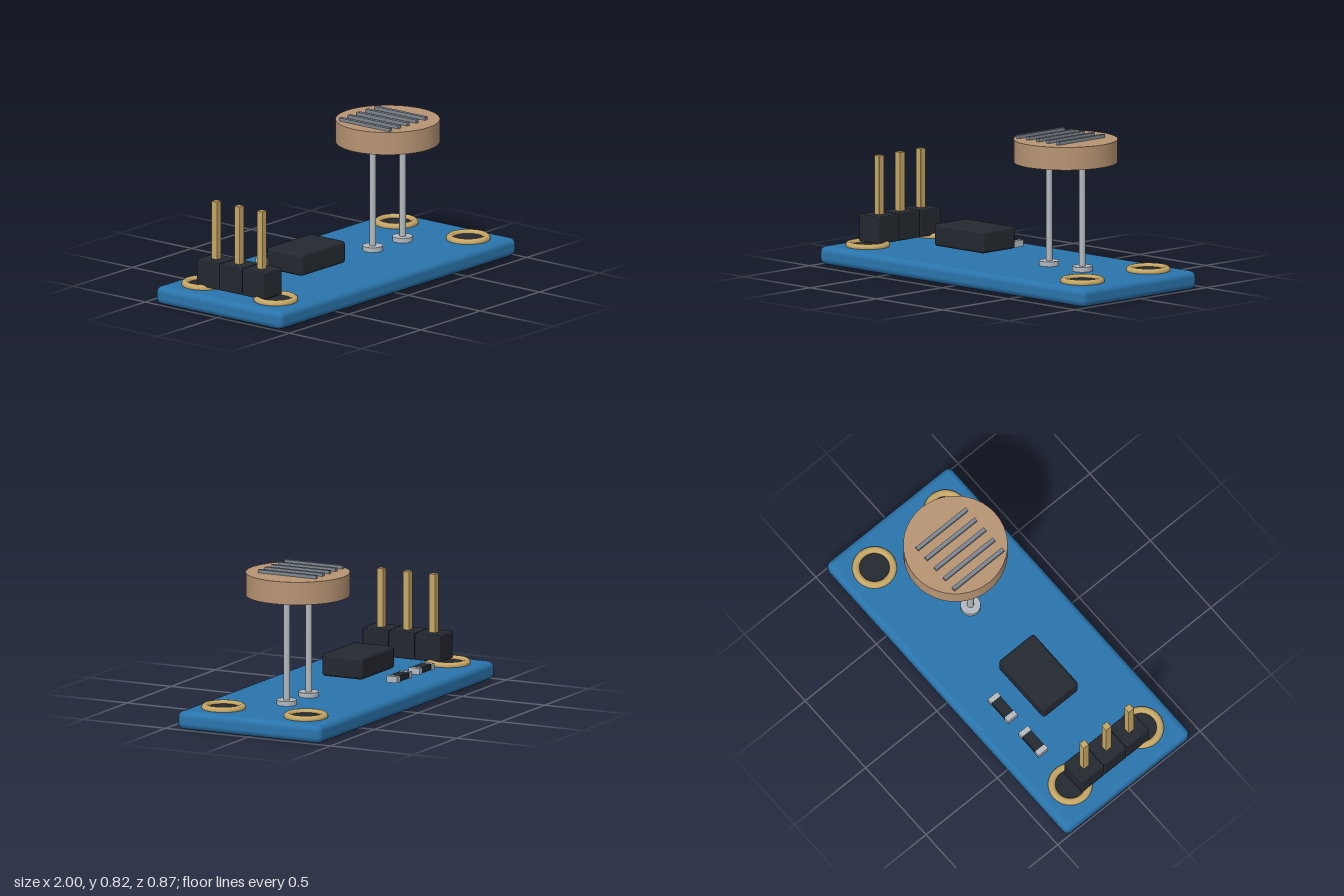
import * as THREE from 'three';
import { RoundedBoxGeometry } from 'three/addons/geometries/RoundedBoxGeometry.js';

const mat = (color) => new THREE.MeshStandardMaterial({ color });

export function createModel() {
  const model = new THREE.Group();
  const blue = mat(0x2a75ad), dark = mat(0x242830), gold = mat(0xc6a765);
  const silver = mat(0xb4bac0), tan = mat(0xb89474), steel = mat(0x7d8791);

  const add = (name, geometry, material, x, y, z) => {
    const mesh = new THREE.Mesh(geometry, material);
    mesh.name = name;
    mesh.position.set(x, y, z);
    model.add(mesh);
    return mesh;
  };
  // Upright cylinder and boxes given by their bottom and top heights
  const disc = (name, r, y0, y1, material, x, z, sides = 32) =>
    add(name, new THREE.CylinderGeometry(r, r, y1 - y0, sides), material, x, (y0 + y1) / 2, z);
  const box = (name, w, d, y0, y1, material, x, z) =>
    add(name, new THREE.BoxGeometry(w, y1 - y0, d), material, x, (y0 + y1) / 2, z);
  const rounded = (name, w, d, y0, y1, r, material, x, z) =>
    add(name, new RoundedBoxGeometry(w, y1 - y0, d, 2, r), material, x, (y0 + y1) / 2, z);

  // Circuit board
  rounded('circuitBoard', 2, 0.872, 0, 0.1, 0.034, blue, 0, 0);

  // Mounting holes: gold ring around a dark centre
  for (const x of [-0.81, 0.81]) {
    for (const z of [-0.25, 0.25]) {
      const ring = add('mountingRing', new THREE.TorusGeometry(0.1, 0.02, 10, 32), gold, x, 0.106, z);
      ring.rotation.x = Math.PI / 2;
      disc('mountingHole', 0.088, 0.09, 0.108, dark, x, z);
    }
  }

  // Three-pin header
  for (const z of [-0.158, 0, 0.158]) {
    rounded('headerBlock', 0.15, 0.155, 0.115, 0.262, 0.006, dark, -0.815, z);
    rounded('headerPin', 0.038, 0.038, 0.13, 0.582, 0.003, gold, -0.815, z);
  }

  // Chip
  rounded('chip', 0.375, 0.248, 0.129, 0.251, 0.018, dark, -0.252, 0);

  // Surface resistors with silver end caps
  for (const x of [-0.503, -0.25]) {
    box('resistorBody', 0.12, 0.06, 0.113, 0.144, dark, x, -0.25);
    for (const s of [-1, 1]) box('resistorCap', 0.03, 0.066, 0.111, 0.146, silver, x + s * 0.069, -0.25);
  }

  // Light sensor on two wire legs
  const sensorX = 0.435;
  disc('sensorHead', 0.28, 0.677, 0.801, tan, sensorX, 0, 40);
  for (const s of [-1, 1]) {
    disc('sensorLeg', 0.018, 0.1, 0.69, silver, sensorX + s * 0.125, 0, 12);
    disc('solderPad', 0.055, 0.095, 0.126, silver, sensorX + s * 0.125, 0, 20);
  }
  for (let i = -2; i <= 2; i++) {
    box('sensorStrip', 0.022, 0.35, 0.798, 0.819, steel, 0.397 + i * 0.075, 0);
  }
  return model;
}
